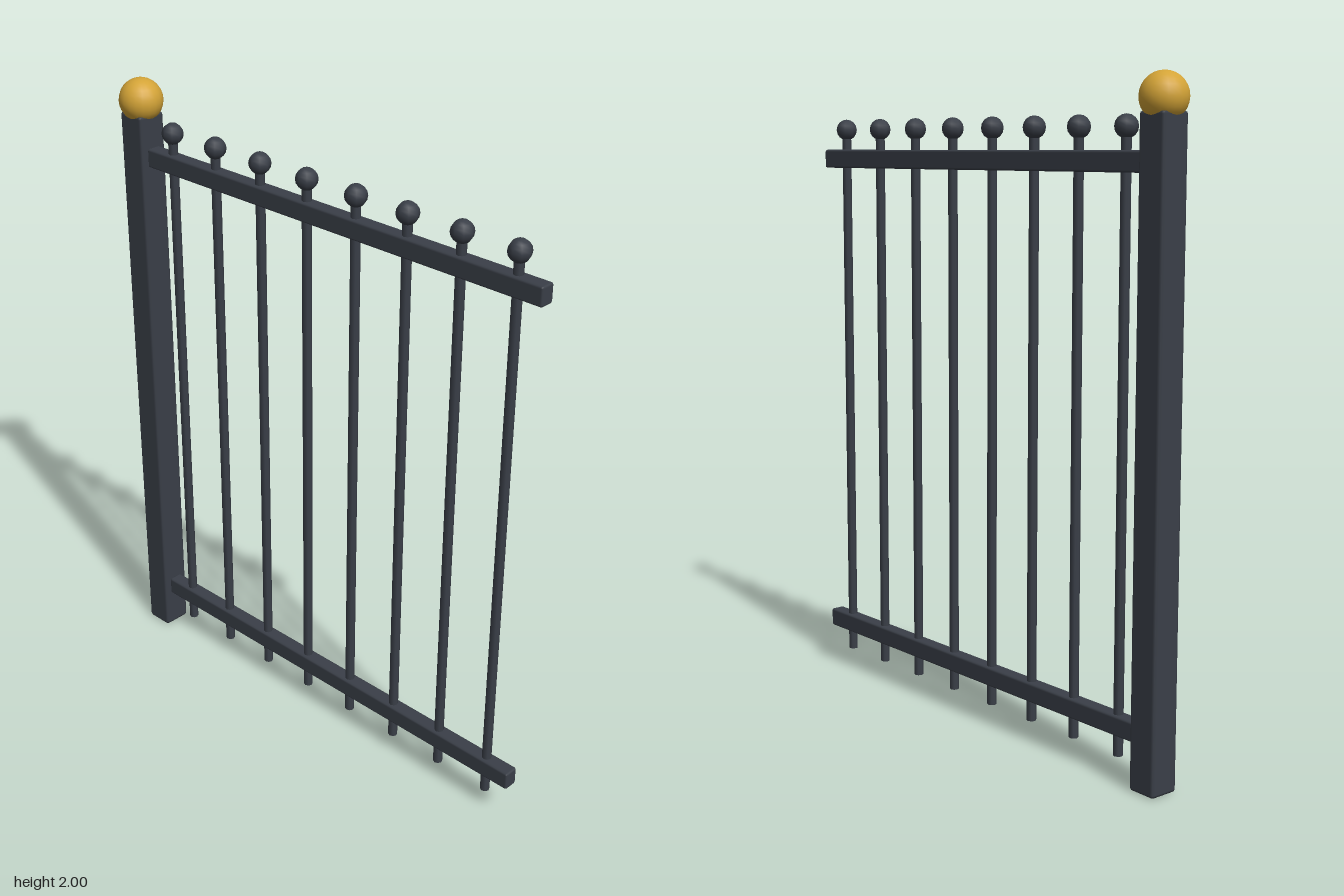
import * as THREE from 'three';
import { RoundedBoxGeometry } from 'three/addons/geometries/RoundedBoxGeometry.js';

export function createModel() {
  const iron = new THREE.MeshStandardMaterial({ color: 0x3a3f48 });
  iron.name = 'dark iron';
  const gold = new THREE.MeshStandardMaterial({ color: 0xd4a437 });
  gold.name = 'gold';

  const fence = new THREE.Group();
  fence.name = 'fencePanel';

  const add = (name, geometry, material, x, y, z = 0, parent = fence) => {
    const mesh = new THREE.Mesh(geometry, material);
    mesh.name = name;
    mesh.position.set(x, y, z);
    parent.add(mesh);
    return mesh;
  };

  // Square post with softened edges, topped by a gilded ball
  add('post', new RoundedBoxGeometry(0.095, 1.895, 0.095, 1, 0.01), iron, -0.75, 0.9475);
  add('postBall', new THREE.SphereGeometry(0.069, 20, 14), gold, -0.75, 1.931);

  // Two horizontal rails running from the post
  const railGeometry = new RoundedBoxGeometry(1.523, 0.06, 0.048, 1, 0.007);
  add('bottomRail', railGeometry, iron, 0.0555, 0.16);
  add('topRail', railGeometry, iron, 0.0555, 1.76);

  // Eight thin pickets, each with a small ball finial
  const bottom = 0.065, top = 1.84;
  const barGeometry = new THREE.CylinderGeometry(0.0148, 0.0148, top - bottom, 8);
  const ballGeometry = new THREE.SphereGeometry(0.034, 8, 8);
  for (let i = 0; i < 8; i++) {
    const picket = new THREE.Group();
    picket.name = `picket${i + 1}`;
    picket.position.x = -0.61 + i * 0.19;
    add('picketBar', barGeometry, iron, 0, (top + bottom) / 2, 0, picket);
    add('picketBall', ballGeometry, iron, 0, 1.855, 0, picket);
    fence.add(picket);
  }

  return fence;
}
